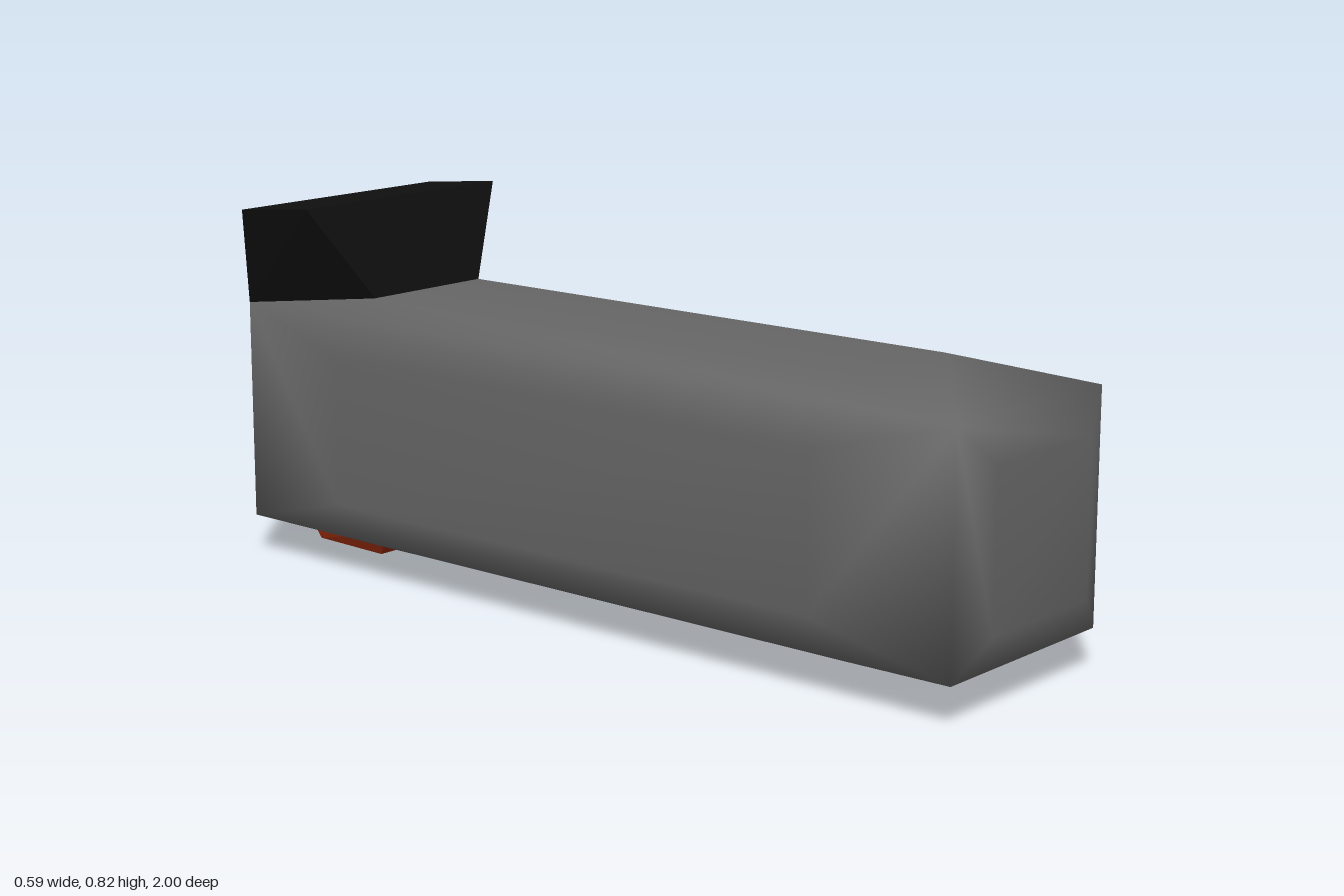
import * as THREE from 'three';
import { ConvexGeometry } from 'three/addons/geometries/ConvexGeometry.js';
import { mergeVertices } from 'three/addons/utils/BufferGeometryUtils.js';

const signs = [-1, 1];

function makeMaterial(name, color) {
  const material = new THREE.MeshStandardMaterial({ color });
  material.name = name;
  return material;
}

// Faceted block: each [x, y, z] row is mirrored to both sides
function mirroredBlock(name, rows, material) {
  const points = rows.flatMap(([x, y, z]) => signs.map((s) => new THREE.Vector3(s * x, y, z)));
  const mesh = new THREE.Mesh(new ConvexGeometry(points), material);
  mesh.name = name;
  return mesh;
}

// Long box whose six faces each bulge out to a smaller flat panel, smooth shaded
function makeBody(material) {
  const corner = [0.248, 0.248, 0.965];
  const inner = [0.163, 0.165, 0.65];
  const outer = [0.283, 0.283, 1];
  const points = [];
  for (const sx of signs) for (const sy of signs) for (const sz of signs) {
    const add = (x, y, z) => points.push(new THREE.Vector3(sx * x, sy * y, sz * z));
    add(...corner);
    for (let axis = 0; axis < 3; axis++) {
      add(...inner.map((v, i) => (i === axis ? outer[i] : v)));
    }
  }
  let geometry = new ConvexGeometry(points);
  geometry.deleteAttribute('normal');
  geometry = mergeVertices(geometry, 1e-4);
  geometry.computeVertexNormals();
  const mesh = new THREE.Mesh(geometry, material);
  mesh.name = 'body';
  mesh.position.y = 0.335;
  return mesh;
}

export function createModel() {
  const grey = makeMaterial('body grey', 0x666666);
  const black = makeMaterial('sight black', 0x0f0f0f);
  const red = makeMaterial('button red', 0x92290c);

  const model = new THREE.Group();
  model.name = 'model';
  model.add(makeBody(grey));

  // Flared block rising from the back of the top
  model.add(mirroredBlock('rearBlock', [
    [0.163, 0.617, -0.645], [0.248, 0.583, -0.965],
    [0.293, 0.823, -0.72], [0.293, 0.802, -0.93],
  ], black));

  // Small tapered button under the back
  model.add(mirroredBlock('bottomButton', [
    [0.102, 0.06, -0.69], [0.142, 0.085, -0.905],
    [0.08, 0, -0.73], [0.122, 0.02, -0.885],
  ], red));

  return model;
}
